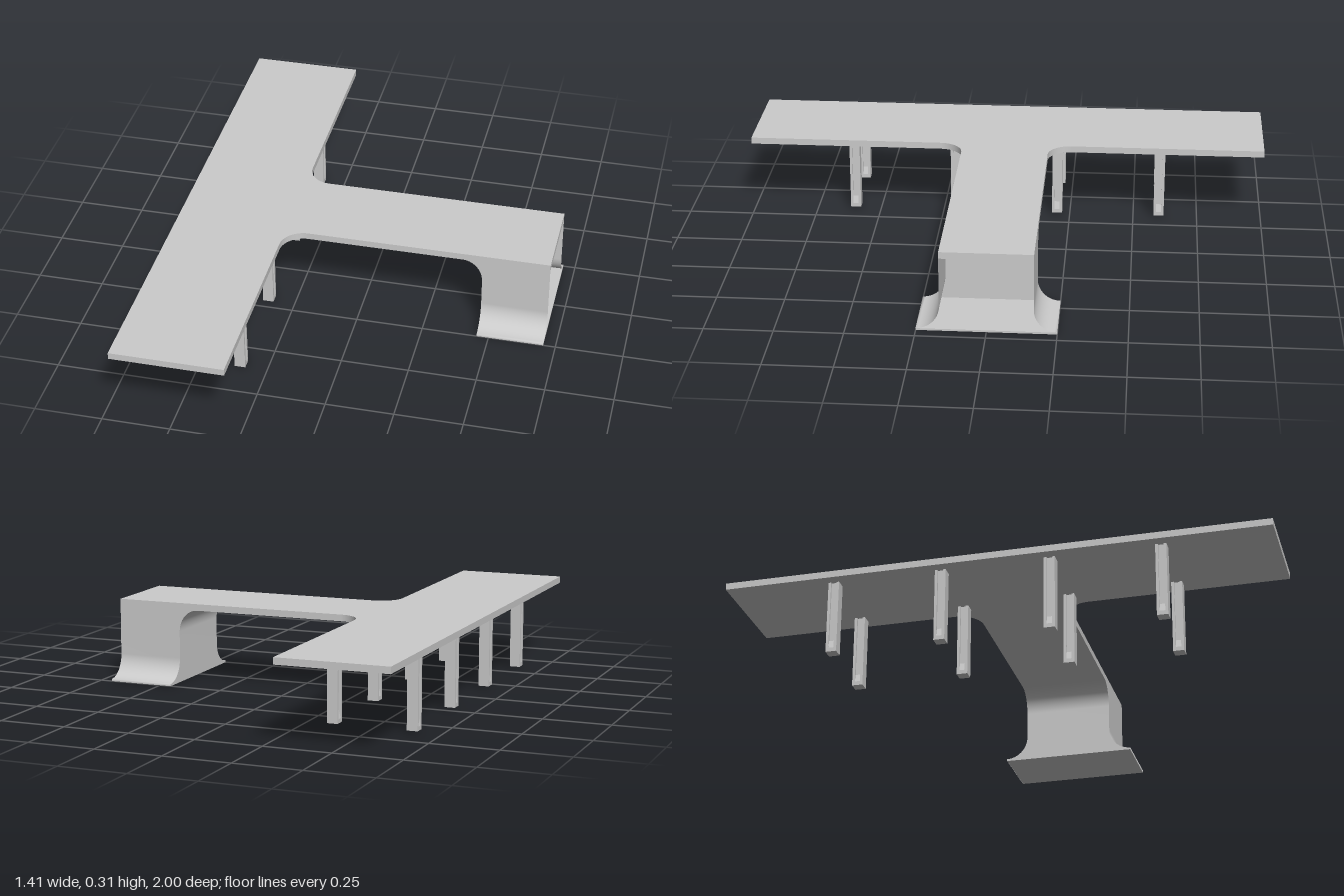
import * as THREE from 'three';

const deckY = 0.281, deckT = 0.025, stemHalf = 0.167, endX = 0.705;

export function createModel() {
  const model = new THREE.Group();
  const grey = new THREE.MeshStandardMaterial({ color: 0xcccccc });
  const sheetGrey = new THREE.MeshStandardMaterial({ color: 0xcccccc, side: THREE.DoubleSide });

  const add = (parent, name, geometry, material = grey) => {
    const mesh = new THREE.Mesh(geometry, material);
    mesh.name = name;
    parent.add(mesh);
    return mesh;
  };

  // T-shaped deck with rounded inner corners, drawn in plan and laid flat
  const barX = -0.29, r = 0.088, cz = stemHalf + r;
  const plan = new THREE.Shape();
  plan.moveTo(-endX, -1);
  plan.lineTo(barX, -1);
  plan.lineTo(barX, -cz);
  plan.absarc(barX + r, -cz, r, Math.PI, Math.PI / 2, true);
  plan.lineTo(endX, -stemHalf);
  plan.lineTo(endX, stemHalf);
  plan.lineTo(barX + r, stemHalf);
  plan.absarc(barX + r, cz, r, -Math.PI / 2, -Math.PI, true);
  plan.lineTo(barX, 1);
  plan.lineTo(-endX, 1);
  plan.closePath();
  const deck = new THREE.ExtrudeGeometry(plan, { depth: deckT, bevelEnabled: false, curveSegments: 14 });
  deck.rotateX(-Math.PI / 2).translate(0, deckY, 0);
  add(model, 'deck', deck);

  // Square legs with a groove on two sides, ramping out near the foot
  const bottom = 0.005, h = 0.02, inner = 0.012, cheek = 0.01;
  const webShape = new THREE.Shape([
    [-h, bottom], [h, bottom], [h, 0.02], [inner, 0.05], [inner, deckY],
    [-inner, deckY], [-inner, 0.05], [-h, 0.02],
  ].map(([x, y]) => new THREE.Vector2(x, y)));
  const webDepth = 2 * (h - cheek);
  const web = new THREE.ExtrudeGeometry(webShape, { depth: webDepth, bevelEnabled: false });
  web.translate(0, 0, -webDepth / 2);
  const cheekBox = new THREE.BoxGeometry(2 * h, deckY - bottom, cheek);
  for (const x of [-0.645, -0.35]) {
    for (const z of [-0.6, -0.2, 0.2, 0.6]) {
      const leg = new THREE.Group();
      leg.name = 'leg';
      leg.position.set(x, 0, z);
      add(leg, 'legWeb', web);
      for (const s of [-1, 1]) {
        add(leg, 'legCheek', cheekBox).position.set(0, (deckY + bottom) / 2, s * (h - cheek / 2));
      }
      model.add(leg);
    }
  }

  // Pedestal cross-sections from floor to deck: y, half width w, inner edge x
  const pedestal = new THREE.Group();
  pedestal.name = 'pedestal';
  model.add(pedestal);
  const wallX = 0.455, footHalf = 0.25, n = 14;
  const rows = [{ y: 0, w: footHalf, x: wallX }];
  for (let i = 0; i <= n; i++) {
    const t = (i / n) * Math.PI / 2;
    rows.push({ y: 0.093 - 0.085 * Math.cos(t), w: footHalf - 0.083 * Math.sin(t), x: wallX });
  }
  for (let i = 0; i <= n; i++) {
    const t = (i / n) * Math.PI / 2;
    rows.push({ y: 0.195 + (deckY - 0.195) * Math.sin(t), w: stemHalf, x: 0.38 + 0.075 * Math.cos(t) });
  }

  // Ruled sheet between two points on each cross-section
  const sheet = (name, from, to) => {
    const positions = [], index = [];
    rows.forEach((row, i) => {
      positions.push(...from(row), ...to(row));
      const a = 2 * i;
      if (i) index.push(a - 2, a - 1, a, a - 1, a + 1, a);
    });
    const g = new THREE.BufferGeometry();
    g.setAttribute('position', new THREE.Float32BufferAttribute(positions, 3));
    g.setIndex(index);
    g.computeVertexNormals();
    add(pedestal, name, g, sheetGrey);
  };
  sheet('leftFlaredSide', (p) => [p.x, p.y, p.w], (p) => [endX, p.y, p.w]);
  sheet('rightFlaredSide', (p) => [endX, p.y, -p.w], (p) => [p.x, p.y, -p.w]);
  sheet('curvedInnerWall', (p) => [p.x, p.y, -p.w], (p) => [p.x, p.y, p.w]);

  // Thin base plate joining the two flared sides
  const base = new THREE.BoxGeometry(endX - wallX, 0.007, 2 * footHalf - 0.002);
  base.translate((endX + wallX) / 2, 0.0035, 0);
  add(pedestal, 'basePlate', base);

  return model;
}
